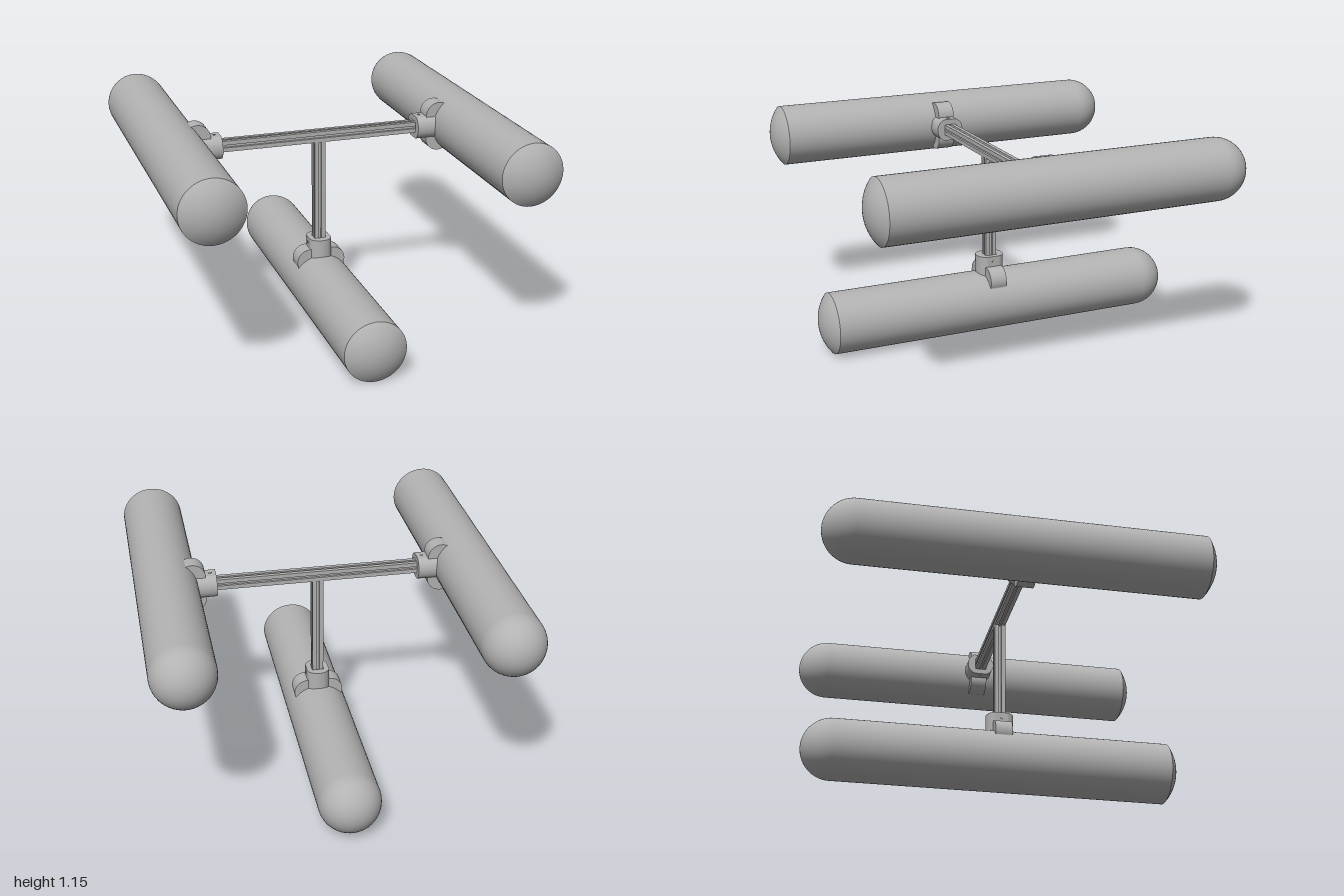
import * as THREE from 'three';

const R = 0.162;        // tank radius
const FRAME_Z = 0.042;  // plane of the connecting frame

export function createModel() {
  const model = new THREE.Group();
  const grey = new THREE.MeshStandardMaterial({ color: 0xb2b2b2 });
  grey.name = 'grey';

  const add = (parent, name, geometry) => {
    const mesh = new THREE.Mesh(geometry, grey);
    mesh.name = name;
    parent.add(mesh);
    return mesh;
  };

  // Tank: hemisphere at the back, straight wall, shallow dome at the front
  const wall = [];
  for (let i = 0; i <= 14; i++) {
    const a = (i / 14) * Math.PI / 2;
    wall.push(new THREE.Vector2(R * Math.sin(a), -1 + R - R * Math.cos(a)));
  }
  wall.push(new THREE.Vector2(R, 0.94));
  const dome = [];
  const rise = 0.06, domeR = (R * R + rise * rise) / (2 * rise);
  const spread = Math.asin(R / domeR);
  for (let i = 0; i <= 8; i++) {
    const a = spread * (1 - i / 8);
    dome.push(new THREE.Vector2(domeR * Math.sin(a), 1 - domeR + domeR * Math.cos(a)));
  }
  const wallGeo = new THREE.LatheGeometry(wall, 48).rotateX(Math.PI / 2);
  const domeGeo = new THREE.LatheGeometry(dome, 48).rotateX(Math.PI / 2);

  // Slotted rail, running along +y from 0
  const railGeo = (length) => {
    const h = 0.029, g = 0.007, d = 0.016;
    const side = [[-h, -h], [-g, -h], [-g, -d], [g, -d], [g, -h]];
    const shape = new THREE.Shape();
    for (let k = 0; k < 4; k++) {
      const c = Math.round(Math.cos(k * Math.PI / 2)), s = Math.round(Math.sin(k * Math.PI / 2));
      side.forEach(([x, y], i) => {
        const px = x * c - y * s, py = x * s + y * c;
        if (k + i === 0) shape.moveTo(px, py); else shape.lineTo(px, py);
      });
    }
    return new THREE.ExtrudeGeometry(shape, { depth: length, bevelEnabled: false }).rotateX(-Math.PI / 2);
  };

  // Collar: flat-sided sleeve with a square socket for the rail
  const sleeve = new THREE.Shape();
  sleeve.moveTo(0.06, -0.035);
  sleeve.lineTo(0.06, 0.035);
  sleeve.quadraticCurveTo(0.045, 0.073, 0, 0.074);
  sleeve.quadraticCurveTo(-0.045, 0.073, -0.06, 0.035);
  sleeve.lineTo(-0.06, -0.035);
  sleeve.quadraticCurveTo(-0.045, -0.073, 0, -0.074);
  sleeve.quadraticCurveTo(0.045, -0.073, 0.06, -0.035);
  const s = 0.031;
  const socket = new THREE.Path();
  socket.moveTo(-s, -s);
  socket.lineTo(-s, s);
  socket.lineTo(s, s);
  socket.lineTo(s, -s);
  socket.closePath();
  sleeve.holes.push(socket);
  const sleeveGeo = new THREE.ExtrudeGeometry(sleeve, { depth: 0.11, bevelEnabled: false, curveSegments: 10 })
    .rotateX(-Math.PI / 2).translate(0, 0.148, 0);

  // Saddle: two rounded wings hugging the tank, joined under the collar
  const saddle = new THREE.Shape();
  saddle.moveTo(0.132, 0.1);
  saddle.absarc(0.062, 0.132, 0.07, -0.4, Math.PI / 2, false);
  saddle.lineTo(-0.062, 0.202);
  saddle.absarc(-0.062, 0.132, 0.07, Math.PI / 2, Math.PI + 0.4, false);
  const end = Math.atan2(0.1, 0.132);
  saddle.absarc(0, 0, 0.16, Math.PI - end, end, true);
  const saddleGeo = new THREE.ExtrudeGeometry(saddle, { depth: 0.09, bevelEnabled: false, curveSegments: 16 })
    .translate(0, 0, -0.045);

  const boltGeo = new THREE.CylinderGeometry(0.008, 0.008, 0.004, 12).rotateZ(Math.PI / 2);

  // Tank units; turn points each bracket towards the frame
  const units = [
    ['leftTank', 0.79, 0.988, Math.PI / 2],
    ['rightTank', -0.79, 0.988, -Math.PI / 2],
    ['lowerTank', 0, R, 0],
  ];
  for (const [name, x, y, turn] of units) {
    const unit = new THREE.Group();
    unit.name = name;
    unit.position.set(x, y, 0);
    model.add(unit);
    add(unit, 'tankBody', wallGeo);
    add(unit, 'frontDome', domeGeo);

    const bracket = new THREE.Group();
    bracket.name = 'bracket';
    bracket.position.z = FRAME_Z;
    bracket.rotation.z = turn;
    unit.add(bracket);
    add(bracket, 'collar', sleeveGeo);
    add(bracket, 'saddle', saddleGeo);
    for (const side of [-1, 1]) add(bracket, 'bolt', boltGeo).position.set(side * 0.061, 0.228, 0);
  }

  // Connecting frame
  const beam = add(model, 'crossBeam', railGeo(1.26));
  beam.rotation.z = Math.PI / 2;
  beam.position.set(0.63, 0.988, FRAME_Z);
  const post = add(model, 'post', railGeo(0.635));
  post.position.set(0, 0.325, FRAME_Z);

  return model;
}
